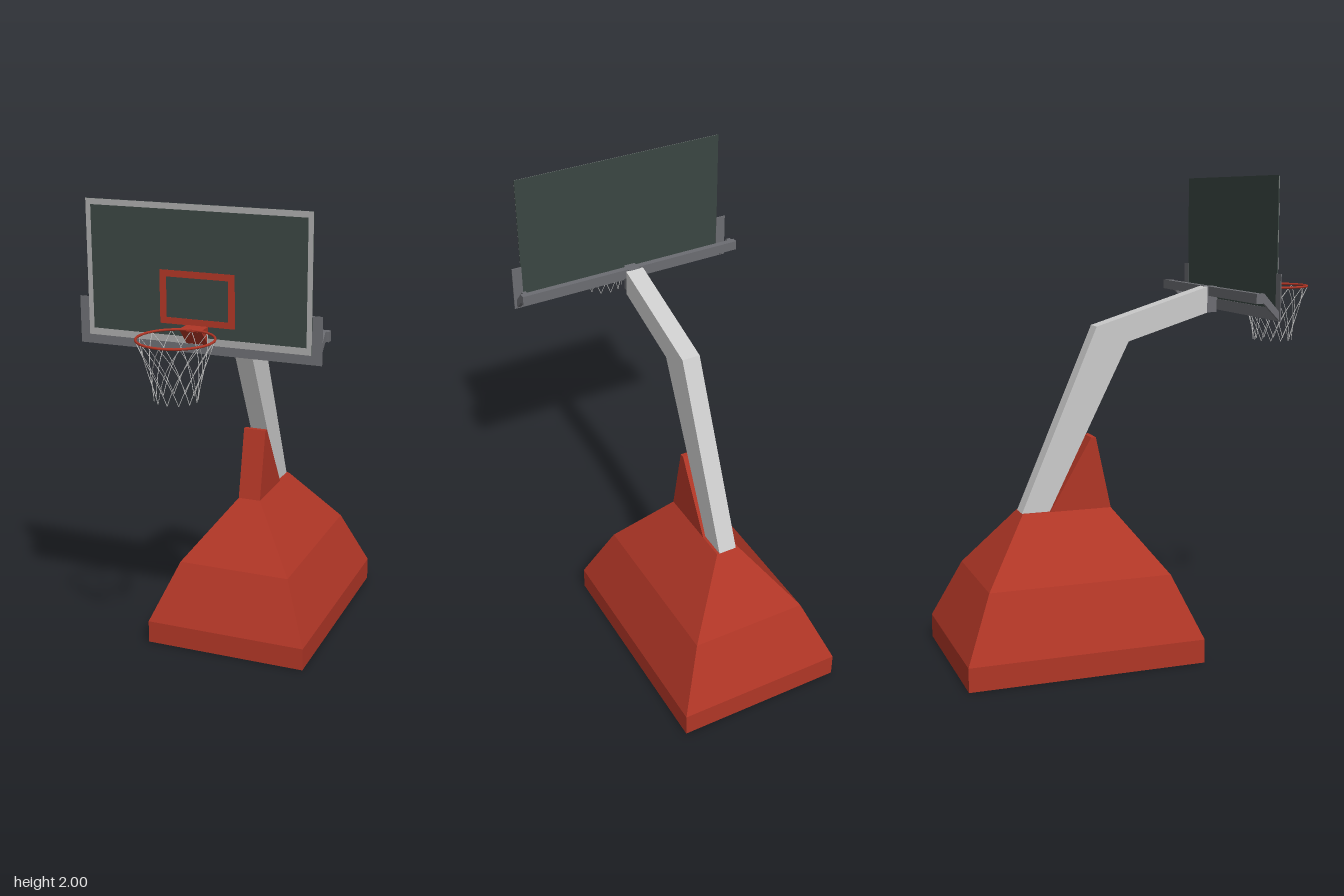
import * as THREE from 'three';
import { mergeGeometries } from 'three/addons/utils/BufferGeometryUtils.js';

const mat = (color, side = THREE.FrontSide, flatShading = true) =>
  new THREE.MeshStandardMaterial({ color, side, flatShading });
const red = mat(0xb03626, THREE.DoubleSide);
const hoopRed = mat(0xb03626, THREE.FrontSide, false);
const paleGrey = mat(0xcccccc);
const darkGrey = mat(0x6c6d72);
const glass = mat(0x3a4642);
const frameGrey = mat(0xaaaaaa);

function add(group, name, geometry, material) {
  const mesh = new THREE.Mesh(geometry, material);
  mesh.name = name;
  group.add(mesh);
  return mesh;
}

// Box given by its minimum and maximum corners
function box(x0, x1, y0, y1, z0, z1) {
  return new THREE.BoxGeometry(x1 - x0, y1 - y0, z1 - z0)
    .translate((x0 + x1) / 2, (y0 + y1) / 2, (z0 + z1) / 2);
}

// Side profile of [z, y] points, extruded across x and centred on cx
function sideProfile(points, width, cx = 0) {
  const shape = new THREE.Shape(points.map(([z, y]) => new THREE.Vector2(-z, y)));
  return new THREE.ExtrudeGeometry(shape, { depth: width, bevelEnabled: false })
    .translate(0, 0, -width / 2).rotateY(Math.PI / 2).translate(cx, 0, 0);
}

// Flat rectangular border facing +z
function border(x, y0, y1, ix, iy0, iy1, depth, z) {
  const rect = (p, a, b, c) => p.moveTo(-a, b).lineTo(a, b).lineTo(a, c).lineTo(-a, c).closePath();
  const shape = rect(new THREE.Shape(), x, y0, y1);
  shape.holes.push(rect(new THREE.Path(), ix, iy0, iy1));
  return new THREE.ExtrudeGeometry(shape, { depth, bevelEnabled: false }).translate(0, 0, z);
}

// Hollow stepped pyramid, open underneath: levels are [y, halfX, zBack, zFront]
function baseGeometry() {
  const levels = [[0, 0.36, -0.81, 0.19], [0.1, 0.36, -0.81, 0.19],
    [0.36, 0.25, -0.695, 0.08], [0.62, 0.05, -0.5, -0.115]];
  const rings = levels.map(([y, x, b, f]) => [[-x, y, f], [x, y, f], [x, y, b], [-x, y, b]]);
  const pos = [];
  const quad = (a, b, c, d) => pos.push(...a, ...b, ...c, ...a, ...c, ...d);
  for (let i = 0; i < rings.length - 1; i++) {
    for (let j = 0; j < 4; j++) {
      const k = (j + 1) % 4;
      quad(rings[i][j], rings[i][k], rings[i + 1][k], rings[i + 1][j]);
    }
  }
  quad(...rings[rings.length - 1]);
  const g = new THREE.BufferGeometry();
  g.setAttribute('position', new THREE.Float32BufferAttribute(pos, 3));
  g.computeVertexNormals();
  return g;
}

// Crossing cords that spiral inward from the hoop
function netGeometry(cz) {
  const cords = [], count = 12, steps = 8, twist = Math.PI / 3;
  for (const dir of [-1, 1]) {
    for (let i = 0; i < count; i++) {
      const pts = [];
      for (let s = 0; s <= steps; s++) {
        const t = s / steps;
        const a = (i / count) * Math.PI * 2 + dir * twist * t;
        const r = 0.083 + 0.065 * Math.pow(1 - t, 1.5);
        pts.push(new THREE.Vector3(Math.cos(a) * r, 1.532 - 0.232 * t, cz + Math.sin(a) * r));
      }
      cords.push(new THREE.TubeGeometry(new THREE.CatmullRomCurve3(pts), 12, 0.0014, 4));
    }
  }
  return mergeGeometries(cords);
}

export function createModel() {
  const model = new THREE.Group();
  model.name = 'basketballHoop';

  // Base, its front wedge and the bent arm
  add(model, 'base', baseGeometry(), red);
  add(model, 'armSupport', sideProfile(
    [[-0.115, 0.62], [-0.18, 0.925], [-0.2, 0.925], [-0.38, 0.62]], 0.1), red);
  add(model, 'arm', sideProfile(
    [[-0.5, 0.62], [-0.38, 0.62], [-0.03, 1.32], [0.325, 1.43], [0.325, 1.54], [-0.17, 1.387]],
    0.078), paleGrey);

  // Mount behind the board
  const mount = new THREE.Group();
  mount.name = 'boardMount';
  model.add(mount);
  add(mount, 'mountBlock', box(-0.025, 0.025, 1.43, 1.54, 0.323, 0.375), darkGrey);
  add(mount, 'crossBar', box(-0.5, 0.5, 1.5, 1.54, 0.337, 0.362), darkGrey);
  add(mount, 'bottomRail', box(-0.5, 0.5, 1.428, 1.475, 0.44, 0.444), darkGrey);
  for (const s of [-1, 1]) {
    const side = s > 0 ? 'left' : 'right';
    add(mount, side + 'Strut', sideProfile(
      [[0.36, 1.5], [0.375, 1.5], [0.442, 1.43], [0.442, 1.465], [0.375, 1.54], [0.36, 1.54]],
      0.018, s * 0.48), darkGrey);
    add(mount, side + 'Rail', box(s * 0.479 - 0.021, s * 0.479 + 0.021, 1.475, 1.615, 0.44, 0.444), darkGrey);
  }

  // Board with its painted border and target
  const board = new THREE.Group();
  board.name = 'backboard';
  model.add(board);
  add(board, 'panel', box(-0.46, 0.46, 1.465, 2, 0.443, 0.447), glass);
  add(board, 'boardBorder', border(0.46, 1.465, 2, 0.44, 1.492, 1.977, 0.001, 0.447), frameGrey);
  add(board, 'target', border(0.154, 1.537, 1.746, 0.127, 1.562, 1.72, 0.001, 0.447), red);

  // Hoop, bracket and net
  const cz = 0.652;
  const hoop = new THREE.Group();
  hoop.name = 'hoop';
  model.add(hoop);
  add(hoop, 'hoopBracket', sideProfile([[0.447, 1.465], [0.51, 1.53], [0.51, 1.538], [0.447, 1.538]], 0.09), red);
  add(hoop, 'rim', new THREE.TorusGeometry(0.147, 0.005, 8, 48)
    .rotateX(Math.PI / 2).translate(0, 1.535, cz), hoopRed);
  add(hoop, 'net', netGeometry(cz), mat(0xcccccc, THREE.FrontSide, false));

  return model;
}
